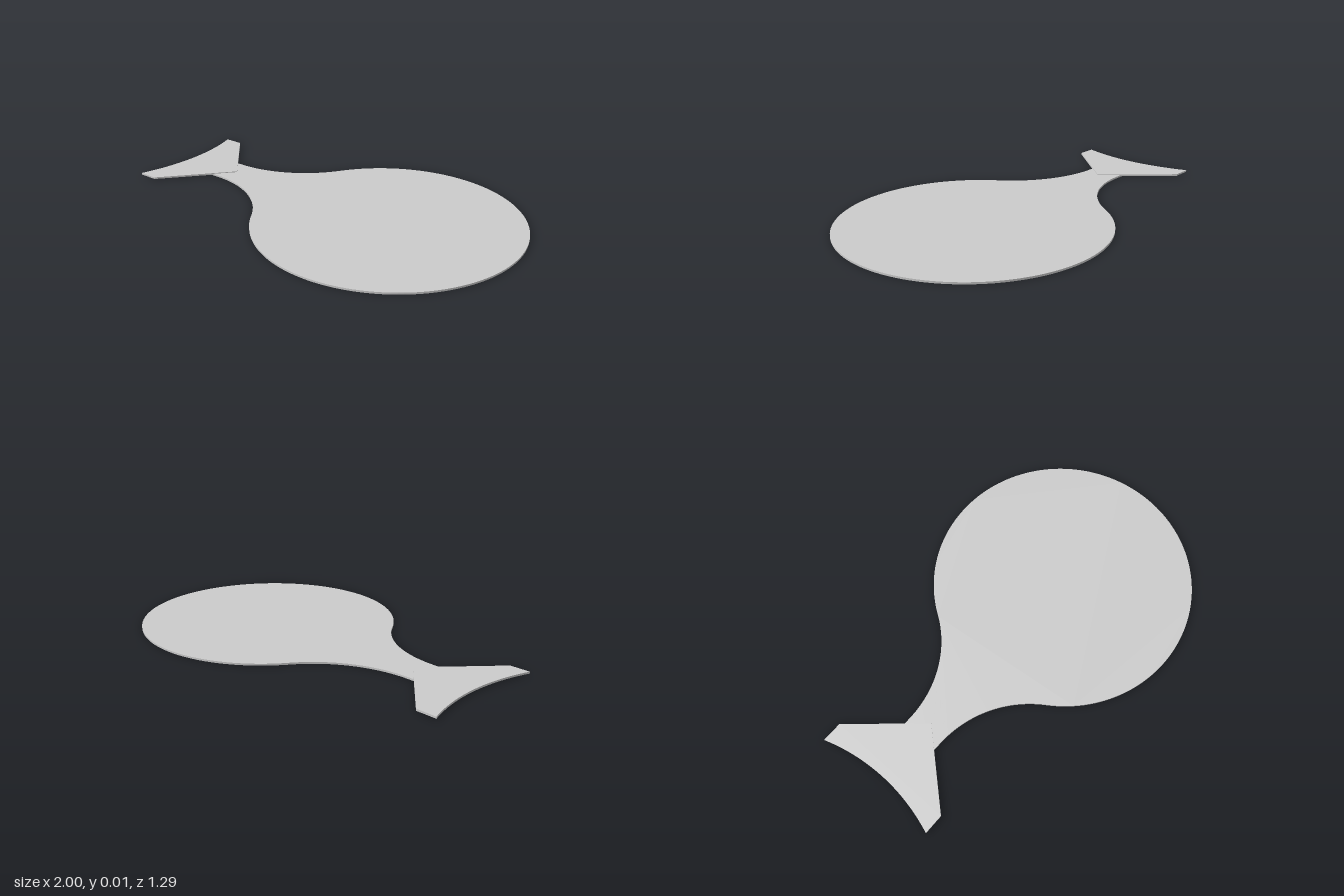
import * as THREE from 'three';

const material = new THREE.MeshStandardMaterial({ color: 0xcccccc });

// Flat plate: outline drawn in x/z, thickness upward from y = base
function plate(name, shape, base, thickness) {
  const geometry = new THREE.ExtrudeGeometry(shape, {
    depth: thickness, bevelEnabled: false, curveSegments: 64,
  });
  geometry.rotateX(-Math.PI / 2);
  const mesh = new THREE.Mesh(geometry, material);
  mesh.name = name;
  mesh.position.y = base;
  return mesh;
}

// Round disc running through two concave fillets into a narrow neck
function bodyShape() {
  const cx = 0.353, r = 0.647;
  const neckX = -0.66, neckHalf = 0.095;
  const dx = cx - neckX;
  // Fillet radius that touches both the disc and the neck side
  const fillet = (dx * dx + neckHalf * neckHalf - r * r) / (2 * (r - neckHalf));
  const fy = neckHalf + fillet;
  const a = Math.atan2(fy, dx);
  const shape = new THREE.Shape();
  shape.moveTo(-0.72, -neckHalf);
  shape.lineTo(neckX, -neckHalf);
  shape.absarc(neckX, -fy, fillet, Math.PI / 2, a, true);
  shape.absarc(cx, 0, r, a - Math.PI, Math.PI - a, false);
  shape.absarc(neckX, fy, fillet, -a, -Math.PI / 2, true);
  shape.lineTo(-0.72, neckHalf);
  shape.closePath();
  return shape;
}

// Flared tail: pointed toward the body, hollowed by an arc at its end
function tailShape() {
  const half = 0.325, sag = 0.055;
  const r = (half * half + sag * sag) / (2 * sag);
  const a = Math.asin(half / r);
  const shape = new THREE.Shape();
  shape.moveTo(-1, -half);
  shape.lineTo(-0.9, -half);
  shape.lineTo(-0.615, 0);
  shape.lineTo(-0.9, half);
  shape.lineTo(-1, half);
  shape.absarc(-1 + sag - r, 0, r, a, -a, true);
  return shape;
}

export function createModel() {
  const group = new THREE.Group();
  group.name = 'flatPaddle';
  group.add(plate('body', bodyShape(), 0, 0.009));
  group.add(plate('tail', tailShape(), 0.004, 0.009));
  return group;
}
